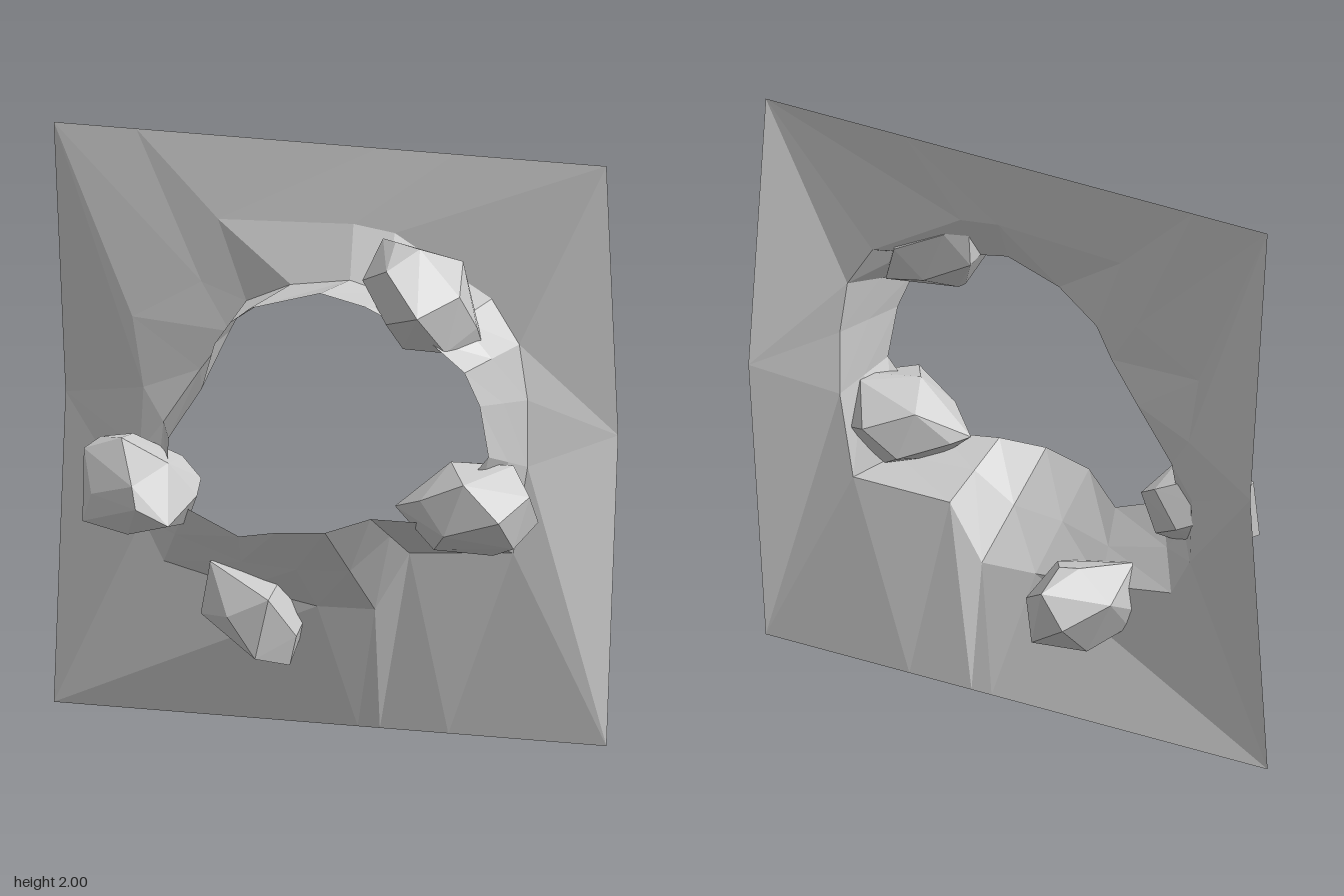
import * as THREE from 'three';
import { ConvexGeometry } from 'three/addons/geometries/ConvexGeometry.js';

const MID = 1.05; // height of the opening's centre

// Opening, counter-clockwise from the model's left:
// lip x, y, z, shoulder x, y and, where the rim folds sharply, crease x, y, z
const SECTIONS = [
  [0.67, 1.02, 0.13, 0.73, 0.95],
  [0.65, 1.2, 0.16, 0.73, 1.18],
  [0.61, 1.32, 0.2, 0.7, 1.37],
  [0.48, 1.42, 0.2, 0.6, 1.52],
  [0.25, 1.52, 0.2, 0.25, 1.72, 0.26, 1.54, 0.04],
  [0.08, 1.55, 0.18, 0.1, 1.74, 0.13, 1.57, 0.03],
  [-0.19, 1.47, 0.14, -0.39, 1.72, -0.1, 1.53, -0.01],
  [-0.27, 1.41, 0.12, -0.45, 1.5, -0.28, 1.45, -0.06],
  [-0.33, 1.33, 0.11, -0.7, 1.36, -0.34, 1.34, -0.06],
  [-0.38, 1.17, 0.1, -0.66, 1.12, -0.45, 1.2, -0.07],
  [-0.5, 0.99, 0.1, -0.67, 0.9, -0.58, 1.01, -0.06],
  [-0.5, 0.79, 0.11, -0.66, 0.67],
  [-0.43, 0.76, 0.12, -0.58, 0.53],
  [-0.23, 0.68, 0.14, -0.28, 0.47],
  [-0.05, 0.73, 0.26, 0, 0.43],
  [0.14, 0.75, 0.29, 0.2, 0.43],
  [0.27, 0.79, 0.2, 0.32, 0.63],
  [0.47, 0.78, 0.15, 0.68, 0.65],
];

// The shoulder stays back above the opening and comes forward below it
const shoulderDepth = (x, y) => (y > MID ? -0.08 : -0.11 * Math.abs(x));

// Border point for a shoulder: edge point, bent-back side middle, or corner
function borderPoint(x, y) {
  if (y > MID && Math.abs(x) < 0.42) return [1.8 * x, 2, -0.12];
  if (y < MID && Math.abs(x - 0.1) < 0.3) return [0.1 + 10 * x ** 3, 0, -0.12];
  if (Math.abs(y - MID) < 0.18) return [Math.sign(x), MID, -0.23];
  return [Math.sign(x), y > MID ? 2 : 0, -0.12];
}

// Lip, crease, shoulder and border points of one section
function sectionPoints([lx, ly, lz, sx, sy, ...crease]) {
  const sz = shoulderDepth(sx, sy);
  const halfway = [(lx + sx) / 2, (ly + sy) / 2, (lz + sz) / 2];
  return [[lx, ly, lz], crease.length ? crease : halfway, [sx, sy, sz], borderPoint(sx, sy)];
}

// Faceted sheet stitched between neighbouring sections
function wallGeometry() {
  const rows = SECTIONS.map(sectionPoints);
  const positions = [];
  rows.forEach((row, i) => {
    const next = rows[(i + 1) % rows.length];
    for (let k = 0; k < 3; k++) {
      positions.push(...row[k], ...row[k + 1], ...next[k]);
      // Neighbouring sections may share one border point
      if (String(row[k + 1]) !== String(next[k + 1])) {
        positions.push(...row[k + 1], ...next[k + 1], ...next[k]);
      }
    }
  });
  const geometry = new THREE.BufferGeometry();
  geometry.setAttribute('position', new THREE.Float32BufferAttribute(positions, 3));
  geometry.computeVertexNormals();
  return geometry;
}

// Irregular convex stone drawn out along an axis, with a few jutting tips
function boulderGeometry({ center, size, axis, tips }, seed) {
  const long = new THREE.Vector3(...axis).normalize();
  const count = 15;
  const points = [];
  for (let i = 0; i < count; i++) {
    // Spiral of points over a sphere with uneven radii
    const y = 1 - (2 * i + 1) / count;
    const turn = i * 2.4 + seed;
    const ring = Math.sqrt(1 - y * y);
    const p = new THREE.Vector3(ring * Math.cos(turn), y, ring * Math.sin(turn));
    p.multiplyScalar(1 + 0.07 * Math.sin(i * 5.3 + seed * 3));
    points.push(p.addScaledVector(long, 0.35 * p.dot(long)));
  }
  const box = new THREE.Box3().setFromPoints(points);
  const middle = box.getCenter(new THREE.Vector3());
  const scale = new THREE.Vector3(...size).divide(box.getSize(new THREE.Vector3()));
  const target = new THREE.Vector3(...center);
  points.forEach((p) => p.sub(middle).multiply(scale).add(target));
  return new ConvexGeometry([...points, ...tips.map((t) => new THREE.Vector3(...t))]);
}

const BOULDERS = {
  upperLeftBoulder: {
    center: [0.415, 1.55, 0.11], size: [0.39, 0.36, 0.36], axis: [0.7, -0.7, 0.1],
    tips: [[0.33, 1.735, 0.12], [0.25, 1.7, -0.03], [0.61, 1.37, 0.02], [0.36, 1.37, 0.13]],
  },
  rightBoulder: {
    center: [-0.6, 0.828, 0.1], size: [0.41, 0.32, 0.38], axis: [0.3, -0.2, 0.2],
    tips: [[-0.76, 0.97, 0.06], [-0.54, 0.78, 0.305], [-0.42, 0.84, 0], [-0.78, 0.7, 0.18]],
  },
  leftBoulder: {
    center: [0.59, 0.825, 0.095], size: [0.45, 0.33, 0.39], axis: [1, 0, 0.2],
    tips: [[0.32, 0.82, 0.1], [0.73, 0.98, 0.05]],
  },
  lowerBoulder: {
    center: [-0.235, 0.415, -0.09], size: [0.36, 0.36, 0.44], axis: [0.4, -0.6, 0.5],
    tips: [[-0.08, 0.23, 0.05], [-0.38, 0.56, 0.02], [-0.22, 0.59, -0.2], [-0.41, 0.38, 0.03]],
  },
};

export function createModel() {
  const model = new THREE.Group();
  model.name = 'rockOpening';
  const stone = new THREE.MeshStandardMaterial({ color: 0xcccccc, flatShading: true });
  const thinStone = stone.clone();
  thinStone.side = THREE.DoubleSide;

  // Wall with a raised, open centre
  const wall = new THREE.Mesh(wallGeometry(), thinStone);
  wall.name = 'wall';
  model.add(wall);

  // Boulders set around the opening
  Object.entries(BOULDERS).forEach(([name, spec], i) => {
    const boulder = new THREE.Mesh(boulderGeometry(spec, i + 1), stone);
    boulder.name = name;
    model.add(boulder);
  });
  return model;
}
